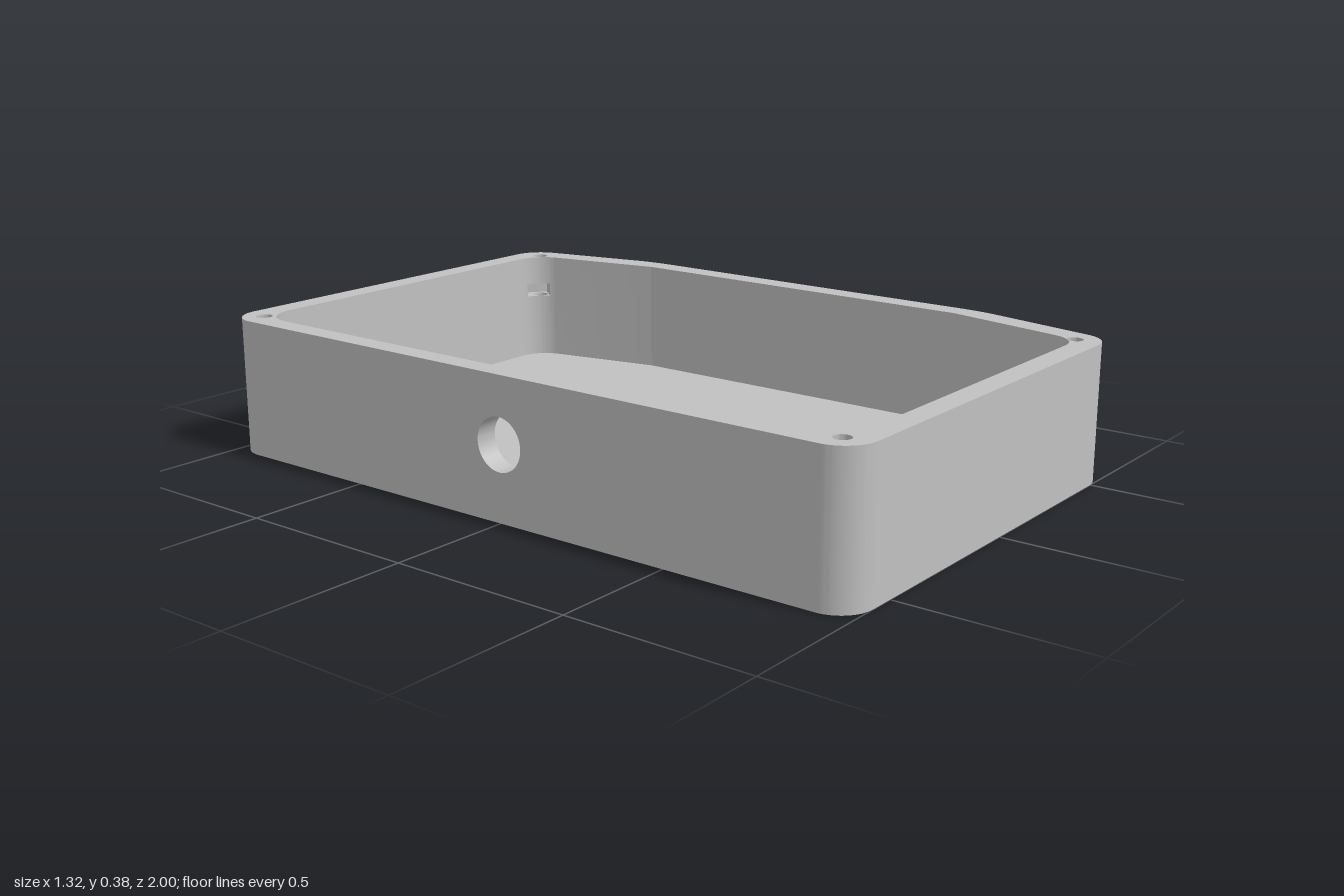
import * as THREE from 'three';
import { mergeGeometries, toCreasedNormals } from 'three/addons/utils/BufferGeometryUtils.js';

const HEIGHT = 0.375, FLOOR = 0.06, SLOT_LOW = 0.25, SLOT_HIGH = 0.29, BORE_END = 0.12;
const PANEL = 0.3;   // half length of the wall panel around the cable hole
const ARC = 20;      // segments per rounded corner

// Outline through [x, z, radius] corners, clockwise from above; also gives where each arc starts
function roundedOutline(corners) {
  const pts = [], arcs = [], n = corners.length;
  corners.forEach(([x, z, r], i) => {
    const c = new THREE.Vector2(x, z);
    if (!r) { pts.push(c); return; }
    const p = corners[(i + n - 1) % n], q = corners[(i + 1) % n];
    const u = new THREE.Vector2(p[0] - x, p[1] - z).normalize();
    const v = new THREE.Vector2(q[0] - x, q[1] - z).normalize();
    const half = Math.acos(u.dot(v)) / 2;
    const centre = u.clone().add(v).normalize().multiplyScalar(r / Math.sin(half)).add(c);
    const first = c.clone().addScaledVector(u, r / Math.tan(half)).sub(centre);
    arcs.push(pts.length);
    for (let k = 0; k <= ARC; k++) {
      const turn = (Math.PI - 2 * half) * k / ARC;
      pts.push(first.clone().rotateAround(new THREE.Vector2(), turn).add(centre));
    }
  });
  return { pts, arcs };
}

function circle(x, z, r, n = 32) {
  return Array.from({ length: n + 1 }, (_, i) => {
    const a = (i % n) / n * Math.PI * 2;
    return new THREE.Vector2(x + r * Math.cos(a), z + r * Math.sin(a));
  });
}

// Upright ribbon along a path, facing left of the direction of travel
function wall(path, y0, y1) {
  const pos = [];
  for (let i = 0; i + 1 < path.length; i++) {
    const a = path[i], b = path[i + 1];
    pos.push(a.x, y0, a.y, a.x, y1, a.y, b.x, y1, b.y);
    pos.push(a.x, y0, a.y, b.x, y1, b.y, b.x, y0, b.y);
  }
  const g = new THREE.BufferGeometry();
  g.setAttribute('position', new THREE.Float32BufferAttribute(pos, 3));
  return g;
}
const reversed = (path) => [...path].reverse();
const smooth = (parts) => toCreasedNormals(mergeGeometries(parts), 0.22);
const smoothOuter = (parts) => toCreasedNormals(mergeGeometries(parts), 0.25);

// Level face at height y, facing up or down
function plate(outline, holes, y, up = true) {
  const s = up ? -1 : 1;
  const flip = (pts) => pts.map((p) => new THREE.Vector2(p.x, s * p.y));
  const shape = new THREE.Shape(flip(outline));
  holes.forEach((h) => shape.holes.push(new THREE.Path(flip(h.slice(0, -1)))));
  return new THREE.ShapeGeometry(shape).rotateX(s * Math.PI / 2).translate(0, y, 0);
}

// Flat wall section with the round cable hole
function holedPanel(x, y0, side) {
  const shape = new THREE.Shape([[-PANEL, y0], [PANEL, y0], [PANEL, HEIGHT], [-PANEL, HEIGHT]]
    .map(([a, b]) => new THREE.Vector2(a, b)));
  shape.holes.push(new THREE.Path(circle(0, 0.2, 0.07, 48).slice(0, -1)));
  return new THREE.ShapeGeometry(shape).rotateY(side * Math.PI / 2).translate(x, 0, 0);
}

export function createModel() {
  const model = new THREE.Group();
  model.name = 'enclosure';
  const grey = new THREE.MeshStandardMaterial({ color: 0xc0c0c0 });
  grey.name = 'light grey';
  const add = (name, geometry, parent = model) => {
    const mesh = new THREE.Mesh(geometry, grey);
    mesh.name = name;
    parent.add(mesh);
  };

  const outer = roundedOutline([
    [-0.66, -PANEL, 0], [-0.66, -1, 0.09], [0.568, -1, 0.09], [0.66, -0.575, 0.57],
    [0.66, 0.575, 0.57], [0.568, 1, 0.09], [-0.66, 1, 0.09], [-0.66, PANEL, 0],
  ]);
  const inner = roundedOutline([
    [-0.6, -PANEL, 0], [-0.6, -0.935, 0.1], [0.513, -0.935, 0.09], [0.595, -0.53, 0],
    [0.595, 0.53, 0], [0.513, 0.935, 0.09], [-0.6, 0.935, 0.1], [-0.6, PANEL, 0],
  ]);
  const screws = [[-0.593, -0.93], [0.52, -0.926], [0.515, 0.926], [-0.593, 0.926]];
  const screwHoles = screws.map(([x, z]) => circle(x, z, 0.022));

  // Shell faces
  add('outerWall', smoothOuter([wall(outer.pts, 0, HEIGHT)]));
  add('outerHolePanel', holedPanel(-0.66, 0, -1));
  add('underside', plate(outer.pts, [], 0, false));
  add('floor', plate(inner.pts, [], FLOOR));
  add('rim', plate(outer.pts, [[...inner.pts, inner.pts[0]], ...screwHoles], HEIGHT));
  add('innerHolePanel', holedPanel(-0.6, FLOOR, 1));

  // Inner wall, left open at the four corner nut slots
  const from = inner.arcs.map((s) => s + 4), to = inner.arcs.map((s) => s + ARC - 4);
  const bands = [
    wall(reversed(inner.pts), FLOOR, SLOT_LOW),
    wall(reversed(inner.pts), SLOT_HIGH, HEIGHT),
  ];
  for (let i = 0; i <= from.length; i++) {
    const start = i ? to[i - 1] : 0, end = i < from.length ? from[i] : inner.pts.length - 1;
    bands.push(wall(reversed(inner.pts.slice(start, end + 1)), SLOT_LOW, SLOT_HIGH));
  }
  add('innerWall', toCreasedNormals(mergeGeometries(bands), 0.15));

  // Cable hole through the side wall
  const bore = smooth([wall(reversed(circle(0, 0, 0.07, 48)), 0, 0.06)]);
  add('cableHole', bore.rotateZ(Math.PI / 2).translate(-0.6, 0.2, 0));

  // Screw holes and nut slots in each corner
  screws.forEach(([x, z], i) => {
    const corner = new THREE.Group();
    corner.name = 'screwCorner' + (i + 1);
    model.add(corner);
    const mouth = inner.pts.slice(from[i], to[i] + 1);
    const a = mouth[0], b = mouth[mouth.length - 1];
    const out = new THREE.Vector2(b.y - a.y, a.x - b.x).normalize();
    const depth = new THREE.Vector2(x, z).sub(a).dot(out) + 0.035;
    const a2 = a.clone().addScaledVector(out, depth), b2 = b.clone().addScaledVector(out, depth);
    const outline = [...mouth, b2, a2], hole = screwHoles[i];
    add('slotFloor', plate(outline, [hole], SLOT_LOW), corner);
    add('slotCeiling', plate(outline, [hole], SLOT_HIGH, false), corner);
    add('slotSides', smooth([wall([b, b2, a2, a], SLOT_LOW, SLOT_HIGH)]), corner);
    add('screwHole', smooth([
      wall(reversed(hole), SLOT_HIGH, HEIGHT),
      wall(reversed(hole), BORE_END, SLOT_LOW),
    ]), corner);
    add('screwHoleEnd', plate(hole.slice(0, -1), [], BORE_END), corner);
  });
  return model;
}
